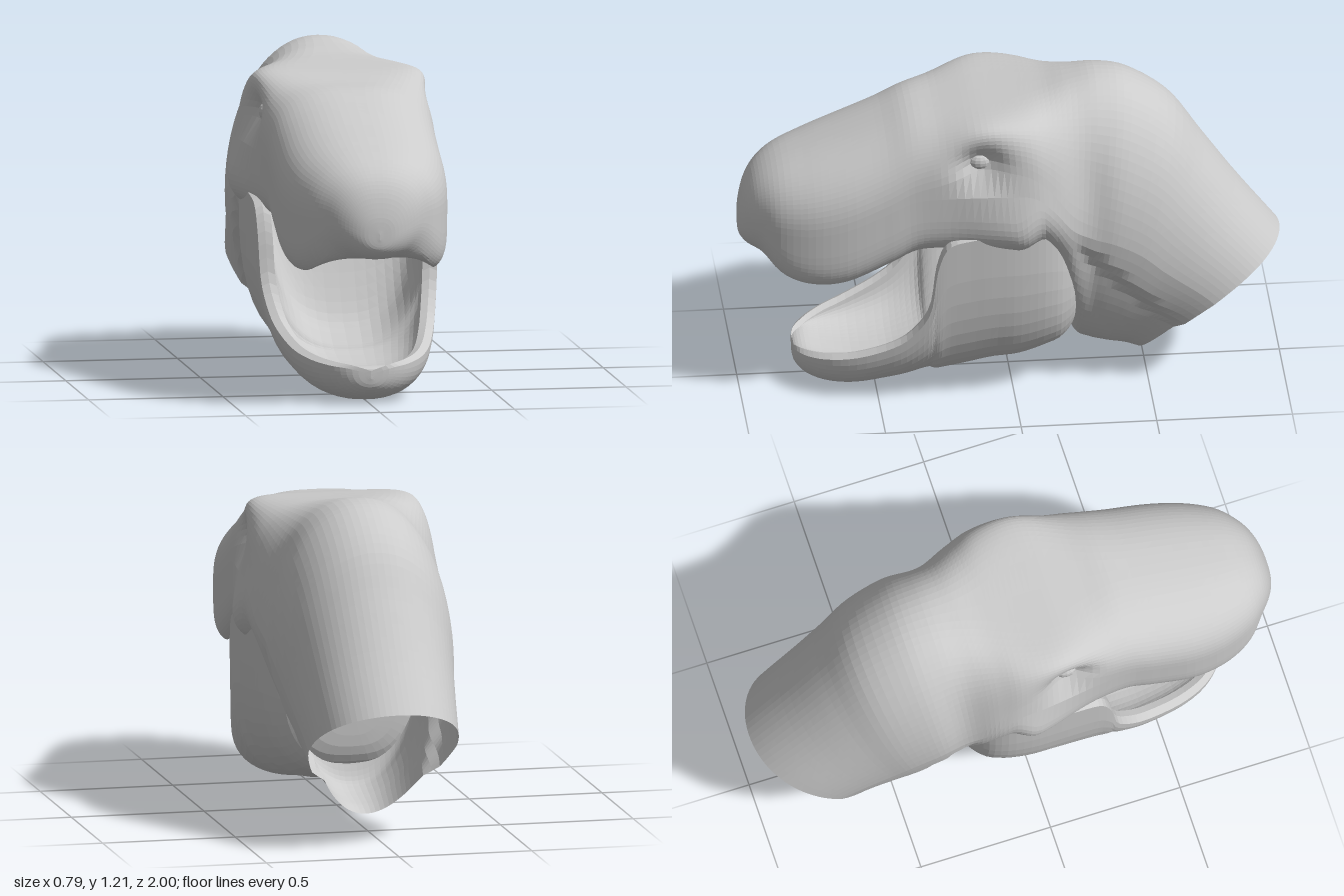
import * as THREE from 'three';

const material = new THREE.MeshStandardMaterial({ color: 0xcccccc, flatShading: true, side: THREE.DoubleSide });
const { smoothstep } = THREE.MathUtils;
const gauss = (d, r) => Math.exp(-(d * d) / (r * r));
const blob = (y, z, cy, cz, ry, rz) => gauss(y - cy, ry) * gauss(z - cz, rz);
const power = (v, e) => Math.sign(v) * Math.abs(v) ** e;

// Smoothly resample a table of cross-sections
function resample(rows, count) {
  const curve = new THREE.CubicInterpolant(rows.map((_, i) => i), rows.flat(), rows[0].length);
  return Array.from({ length: count + 1 }, (_, i) => Array.from(curve.evaluate((i / count) * (rows.length - 1))));
}

// Skin a list of closed rings running front to back
function loft(name, rings) {
  const n = rings[0].length, index = [];
  for (let i = 0; i < rings.length - 1; i++) {
    for (let j = 0; j < n; j++) {
      const k = (j + 1) % n;
      const a = i * n + j, b = i * n + k, c = b + n, d = a + n;
      index.push(a, d, c, a, c, b);
    }
  }
  const geometry = new THREE.BufferGeometry();
  geometry.setAttribute('position', new THREE.Float32BufferAttribute(rings.flat(2), 3));
  geometry.setIndex(index);
  geometry.computeVertexNormals();
  const mesh = new THREE.Mesh(geometry, material);
  mesh.name = name;
  return mesh;
}

// Skull, snout and neck: top z, top y, bottom z, bottom y, half width
const skullRows = [
  [1.0, 0.66, 1.0, 0.64, 0],
  [0.993, 0.73, 0.993, 0.6, 0.065],
  [0.97, 0.81, 0.965, 0.57, 0.125],
  [0.93, 0.87, 0.92, 0.55, 0.18],
  [0.86, 0.92, 0.86, 0.505, 0.24],
  [0.75, 0.965, 0.75, 0.472, 0.288],
  [0.62, 1.015, 0.62, 0.483, 0.312],
  [0.48, 1.07, 0.46, 0.555, 0.315],
  [0.38, 1.11, 0.36, 0.605, 0.315],
  [0.27, 1.125, 0.25, 0.615, 0.325],
  [0.15, 1.145, 0.12, 0.615, 0.34],
  [0.05, 1.155, 0.0, 0.615, 0.345],
  [-0.05, 1.165, -0.08, 0.59, 0.345],
  [-0.13, 1.175, -0.15, 0.45, 0.335],
  [-0.22, 1.195, -0.2, 0.25, 0.33],
  [-0.33, 1.21, -0.24, 0.145, 0.333],
  [-0.45, 1.185, -0.29, 0.115, 0.337],
  [-0.6, 1.08, -0.34, 0.1, 0.328],
  [-0.72, 0.91, -0.38, 0.09, 0.31],
  [-0.85, 0.725, -0.42, 0.08, 0.295],
  [-1.0, 0.53, -0.47, 0.06, 0.28],
];

function skullRing([tz, ty, bz, by, w], sides) {
  const upperBoxy = 2.05 + 0.35 * smoothstep(tz, -0.5, 0.1) + 2.4 * gauss(tz - 0.1, 0.2);
  const lowerBoxy = 2.1 + 2.9 * smoothstep(tz, -0.1, 0.05) * (1 - smoothstep(tz, 0.8, 0.97));
  const arch = 0.14 * (1 - smoothstep(tz, 0.78, 0.96)) * smoothstep(tz, 0, 0.3);
  const taper = 0.18 * (1 - smoothstep(tz, -0.3, -0.05));
  const bend = 0.06 * (1 - smoothstep(tz, -1, -0.6));
  return Array.from({ length: sides }, (_, j) => {
    const a = (j / sides) * Math.PI * 2;
    const e = 2 / (Math.sin(a) > 0 ? upperBoxy : lowerBoxy);
    const c = power(Math.cos(a), e), s = power(Math.sin(a), e);
    const t = (1 + s) / 2;
    let x = w * c * (1 - taper * Math.max(0, -s));
    let y = by + (ty - by) * t + bend * Math.sin(Math.PI * t ** 0.8);
    const z = bz + (tz - bz) * t;
    // Hollow palate between the lips
    if (s < 0) y += arch * Math.max(0, 1 - (c / 0.85) ** 2);
    // Cheek, brow ridge, eye socket and the hollow behind the cheek
    const side = Math.abs(c) ** 1.5 * Math.sign(c);
    x += side * (0.055 * blob(y, z, 0.71, -0.04, 0.17, 0.17)
      + 0.012 * blob(y, z, 1.14, 0.1, 0.05, 0.16)
      - 0.06 * blob(y, z, 1.0, 0.13, 0.06, 0.085)
      - 0.018 * blob(y, z, 0.9, -0.27, 0.25, 0.07));
    // Throat stepping in below the neck muscle
    const crease = 0.65 + (z + 0.25) * 1.09;
    x -= side * 0.04 * smoothstep(crease - y, -0.02, 0.07) * (1 - smoothstep(z, -0.3, -0.2));
    y += 0.028 * Math.abs(c) ** 3 * blob(y, z, 1.14, 0.1, 0.08, 0.14);
    return [x, y, z];
  });
}

// Lower jaw: z, rim y, underside y, mouth floor y, half width
const jawRows = [
  [0.8, 0.115, 0.1, 0.115, 0],
  [0.79, 0.135, 0.06, 0.135, 0.08],
  [0.75, 0.145, 0.025, 0.14, 0.15],
  [0.68, 0.16, 0.005, 0.115, 0.21],
  [0.58, 0.185, 0.003, 0.095, 0.255],
  [0.46, 0.235, 0.025, 0.095, 0.29],
  [0.38, 0.295, 0.04, 0.11, 0.31],
  [0.315, 0.4, 0.055, 0.13, 0.327],
  [0.29, 0.57, 0.06, 0.15, 0.335],
  [0.25, 0.67, 0.065, 0.18, 0.34],
  [0.17, 0.7, 0.08, 0.25, 0.345],
  [0.08, 0.71, 0.1, 0.42, 0.35],
  [-0.02, 0.71, 0.11, 0.66, 0.35],
  [-0.12, 0.7, 0.14, 0.68, 0.335],
  [-0.19, 0.66, 0.17, 0.65, 0.295],
  [-0.24, 0.58, 0.25, 0.57, 0.21],
  [-0.25, 0.45, 0.4, 0.45, 0],
];

function jawRing([z, rim, bottom, floor, w], half) {
  const ring = [];
  const inner = Math.max(w - 0.055, w * 0.6);
  const arc = (width, low, e, sign) => {
    for (let j = 0; j <= half; j++) {
      const a = (j / half) * Math.PI;
      ring.push([-sign * width * power(Math.cos(a), e), rim - (rim - low) * Math.sin(a) ** e, z]);
    }
  };
  const lip = (sign) => ring.push([sign * (w + inner) / 2, rim + 0.012, z]);
  arc(w, bottom, 0.9 - 0.25 * smoothstep(rim, 0.33, 0.65), 1);
  lip(1);
  arc(inner, floor, 0.8, -1);
  lip(-1);
  return ring;
}

export function createModel() {
  const model = new THREE.Group();
  model.name = 'dinosaurHead';
  model.add(loft('skullAndNeck', resample(skullRows, 90).map((r) => skullRing(r, 80))));
  model.add(loft('lowerJaw', resample(jawRows, 56).map((r) => jawRing(r, 24))));

  // Eyes set into the sockets
  for (const side of [1, -1]) {
    const eye = new THREE.Mesh(new THREE.SphereGeometry(0.04, 12, 8), material);
    eye.name = side > 0 ? 'leftEye' : 'rightEye';
    eye.scale.set(0.6, 0.8, 1);
    eye.position.set(side * 0.28, 1.0, 0.13);
    model.add(eye);
  }
  return model;
}
